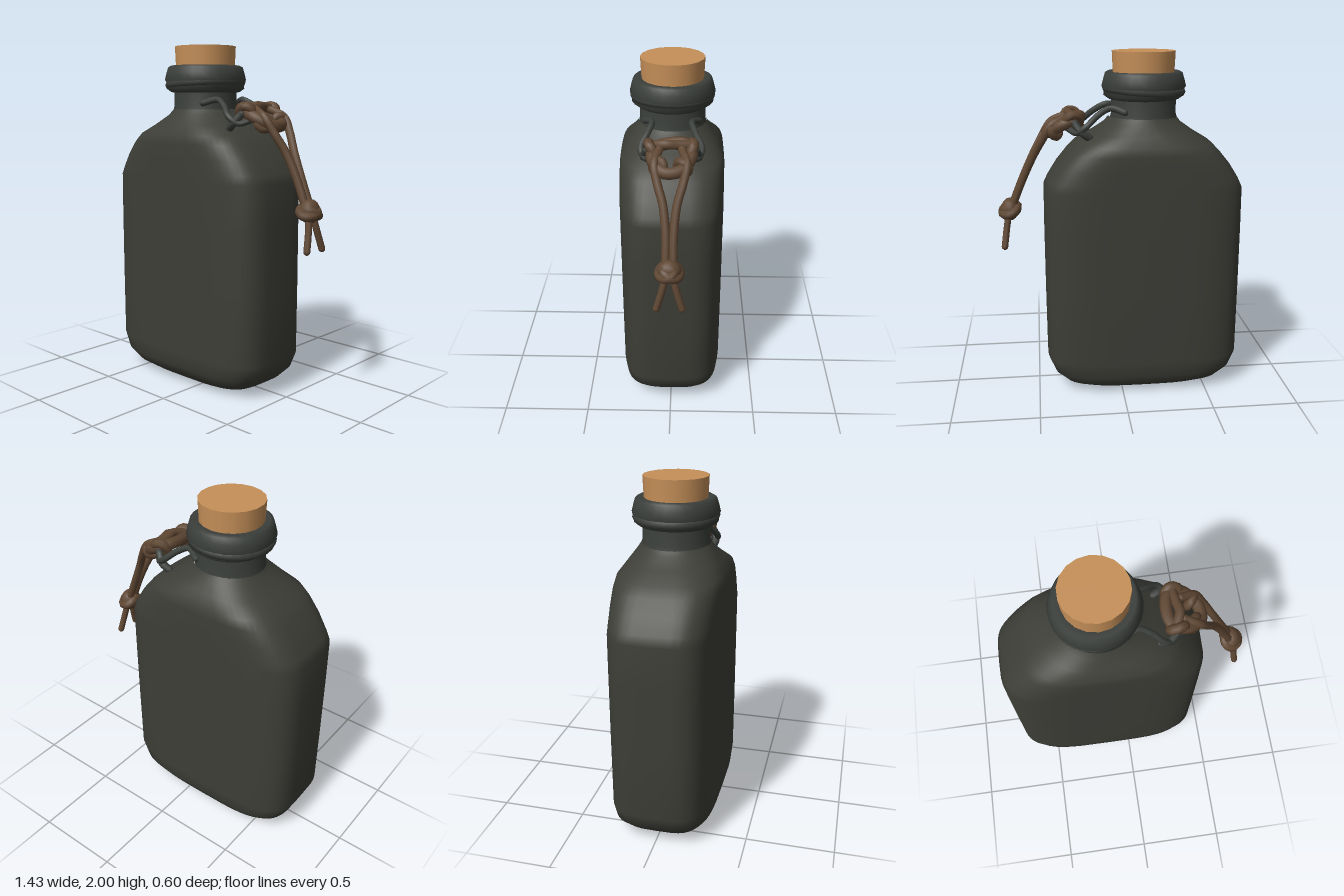
import * as THREE from 'three';

const mat = (name, color) => {
  const m = new THREE.MeshStandardMaterial({ color });
  m.name = name;
  return m;
};
const V = (p) => new THREE.Vector3(...p);
const CX = -0.135; // bottle axis

// Stack of superellipse loops: [y, half width, half depth, exponent]
function loopedShell(sections, n = 48) {
  const pos = [], index = [];
  const power = (v, e) => Math.sign(v) * Math.pow(Math.abs(v), 2 / e);
  for (const [y, a, b, e] of sections) {
    for (let j = 0; j < n; j++) {
      const t = (j / n) * Math.PI * 2;
      pos.push(a * power(Math.cos(t), e), y, b * power(Math.sin(t), e));
    }
  }
  for (let i = 0; i < sections.length - 1; i++) {
    for (let j = 0; j < n; j++) {
      const k = (j + 1) % n;
      const a = i * n + j, b = i * n + k, c = a + n, d = b + n;
      index.push(a, c, b, b, c, d);
    }
  }
  // bottom cap
  const centre = pos.length / 3;
  pos.push(0, sections[0][0], 0);
  for (let j = 0; j < n; j++) index.push(centre, j, (j + 1) % n);
  const g = new THREE.BufferGeometry();
  g.setAttribute('position', new THREE.Float32BufferAttribute(pos, 3));
  g.setIndex(index);
  g.computeVertexNormals();
  return g;
}

export function createModel() {
  const model = new THREE.Group();
  model.name = 'corkedFlask';
  const flask = mat('dark flask', 0x3d3e37);
  const rubber = mat('dark grey collar', 0x3b3f3b);
  const cork = mat('cork', 0xc69059);
  const leather = mat('brown leather', 0x5f4733);

  const add = (name, geo, material, parent = model) => {
    const m = new THREE.Mesh(geo, material);
    m.name = name;
    parent.add(m);
    return m;
  };
  const group = (name) => {
    const g = new THREE.Group();
    g.name = name;
    model.add(g);
    return g;
  };
  const cord = (name, pts, r, material, parent, closed = false) => {
    const curve = new THREE.CatmullRomCurve3(pts.map(V), closed);
    add(name, new THREE.TubeGeometry(curve, pts.length * 6, r, 8, closed), material, parent);
    if (closed) return;
    // rounded ends
    for (const p of [pts[0], pts[pts.length - 1]]) {
      add(name + 'End', new THREE.SphereGeometry(r, 8, 6), material, parent).position.set(...p);
    }
  };

  // Flattened body with rounded base and sloping shoulders
  add('body', loopedShell([
    [0, 0.36, 0.15, 3], [0.012, 0.41, 0.2, 3.4], [0.05, 0.48, 0.255, 3.8],
    [0.11, 0.54, 0.29, 4], [0.2, 0.578, 0.298, 4], [0.6, 0.58, 0.299, 4],
    [1, 0.58, 0.299, 4], [1.23, 0.578, 0.299, 4], [1.28, 0.555, 0.299, 3.9],
    [1.36, 0.505, 0.299, 3.8], [1.44, 0.44, 0.299, 3.6], [1.49, 0.39, 0.293, 3.3],
    [1.545, 0.3, 0.255, 2.7], [1.6, 0.222, 0.215, 2.2], [1.635, 0.195, 0.193, 2],
  ]), flask).position.x = CX;

  // Neck, rolled lip and cork
  const lathe = (name, pts, material, segs) => {
    const g = new THREE.LatheGeometry(pts.map((p) => new THREE.Vector2(...p)), segs);
    const m = add(name, g, material);
    m.position.x = CX - 0.008;
    return m;
  };
  lathe('neck', [[0.2, 1.6], [0.187, 1.65], [0.185, 1.76]], rubber, 32);
  lathe('lip', [[0.18, 1.73], [0.205, 1.735], [0.232, 1.755], [0.228, 1.785],
    [0.242, 1.805], [0.232, 1.845], [0.222, 1.878], [0.205, 1.888], [0.165, 1.88]], rubber, 28);
  const roll = add('lipRoll', new THREE.TorusGeometry(0.212, 0.028, 8, 32), rubber);
  roll.position.set(CX - 0.008, 1.785, 0);
  roll.rotation.set(Math.PI / 2, 0.06, 0);
  const plug = add('cork', new THREE.CylinderGeometry(0.181, 0.17, 0.24, 18), cork);
  plug.position.set(CX - 0.007, 1.88, 0);

  // Collar loops running from the neck to the leather knot
  const loops = group('collarLoops');
  const ties = group('leatherCord');
  for (const s of [1, -1]) {
    cord('collarLoop', [[-0.02, 1.67, s * 0.15], [0.06, 1.69, s * 0.11], [0.13, 1.655, s * 0.13],
      [0.2, 1.595, s * 0.165], [0.25, 1.56, s * 0.14], [0.3, 1.58, s * 0.09]], 0.018, rubber, loops);
    cord('collarLoopTail', [[0.26, 1.61, s * 0.13], [0.22, 1.56, s * 0.15],
      [0.18, 1.53, s * 0.14]], 0.022, rubber, loops);

    // Upper knot wraps
    const wrap = add('upperKnotWrap', new THREE.TorusGeometry(0.04, 0.028, 8, 14), leather, ties);
    wrap.position.set(0.27, 1.62, s * 0.1);
    wrap.rotation.set(s * 0.5, 0.2, 0.3);
    const wrap2 = add('upperKnotWrap', new THREE.TorusGeometry(0.035, 0.026, 8, 14), leather, ties);
    wrap2.position.set(0.37, 1.565, s * 0.065);
    wrap2.rotation.set(s * -0.4, 0.9, 0);

    // Hanging strands and their loose ends
    cord('hangingStrand', [[0.31, 1.635, s * 0.06], [0.39, 1.595, s * 0.085], [0.445, 1.51, s * 0.068],
      [0.5, 1.41, s * 0.037], [0.565, 1.27, s * 0.021], [0.63, 1.11, s * 0.02]], 0.023, leather, ties);
    cord('looseEnd', [[0.65, 1.07, s * 0.018], [0.665, 0.98, s * 0.04],
      [0.678, 0.885, s * 0.068]], 0.019, leather, ties);

    // Lower knot, two crossing turns
    const turn = add('lowerKnotTurn', new THREE.TorusGeometry(0.045, 0.028, 8, 16), leather, ties);
    turn.position.set(0.642, 1.095, s * 0.012);
    turn.rotation.set(Math.PI / 2 + s * 0.45, -0.35, 0);
  }
  cord('upperKnotRing', [[0.24, 1.625, 0.07], [0.24, 1.64, -0.08], [0.31, 1.61, -0.11], [0.4, 1.555, -0.05],
    [0.41, 1.55, 0.04], [0.32, 1.6, 0.1]], 0.034, leather, ties, true);
  cord('upperKnotBridge', [[0.26, 1.64, 0.1], [0.29, 1.655, 0.03], [0.28, 1.65, -0.04],
    [0.27, 1.645, -0.1]], 0.027, leather, ties);
  const core = add('lowerKnotCore', new THREE.SphereGeometry(0.056, 12, 8), leather, ties);
  core.position.set(0.642, 1.095, 0);
  core.scale.set(0.95, 1.2, 1.2);

  return model;
}
